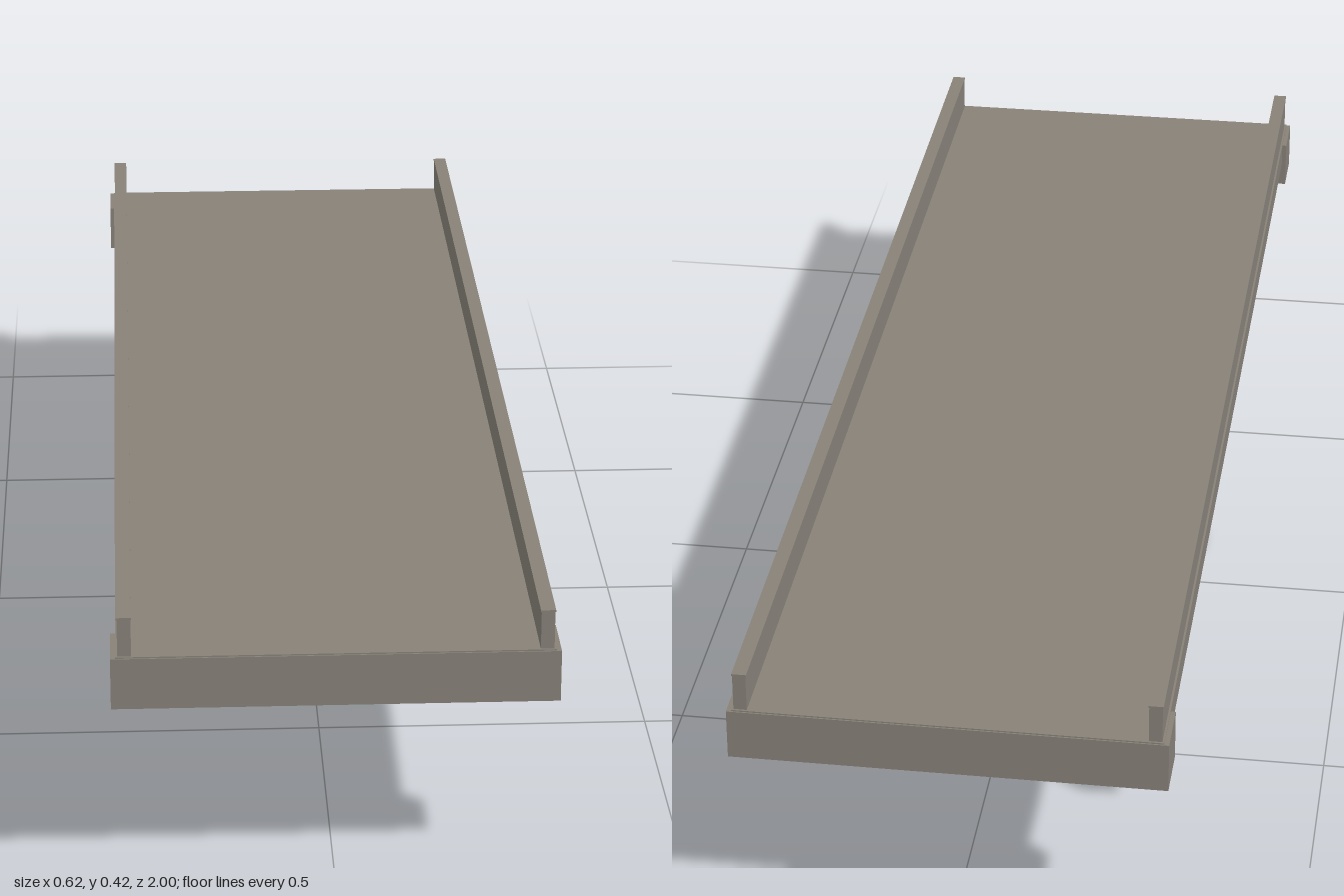
import * as THREE from 'three';

export function createModel() {
  const model = new THREE.Group();
  model.name = 'bridge';
  const concrete = new THREE.MeshStandardMaterial({ color: 0x878178 });
  concrete.name = 'concrete';

  // Box given by its lower and upper limits on each axis
  function block(name, [x0, x1], [y0, y1], [z0, z1]) {
    const mesh = new THREE.Mesh(new THREE.BoxGeometry(x1 - x0, y1 - y0, z1 - z0), concrete);
    mesh.position.set((x0 + x1) / 2, (y0 + y1) / 2, (z0 + z1) / 2);
    mesh.name = name;
    model.add(mesh);
  }

  // Road slab
  block('deck', [-0.305, 0.305], [0.32, 0.36], [-0.998, 0.998]);

  // Supporting beams under both ends
  block('frontAbutment', [-0.312, 0.312], [0.282, 0.358], [0.915, 1]);
  block('backAbutment', [-0.312, 0.312], [0.282, 0.358], [-1, -0.915]);

  for (const [side, s] of [['left', 1], ['right', -1]]) {
    const span = (a, b) => (s > 0 ? [a, b] : [-b, -a]);
    // Side parapet with a thin coping
    block(side + 'Parapet', span(0.283, 0.302), [0.36, 0.415], [-0.995, 0.995]);
    block(side + 'Coping', span(0.282, 0.303), [0.415, 0.418], [-0.995, 0.995]);
    // Piers: the back pair is shorter
    block(side + 'FrontPier', span(0.197, 0.252), [0, 0.32], [0.1, 0.155]);
    block(side + 'BackPier', span(0.197, 0.252), [0.083, 0.32], [-0.65, -0.595]);
  }
  return model;
}
